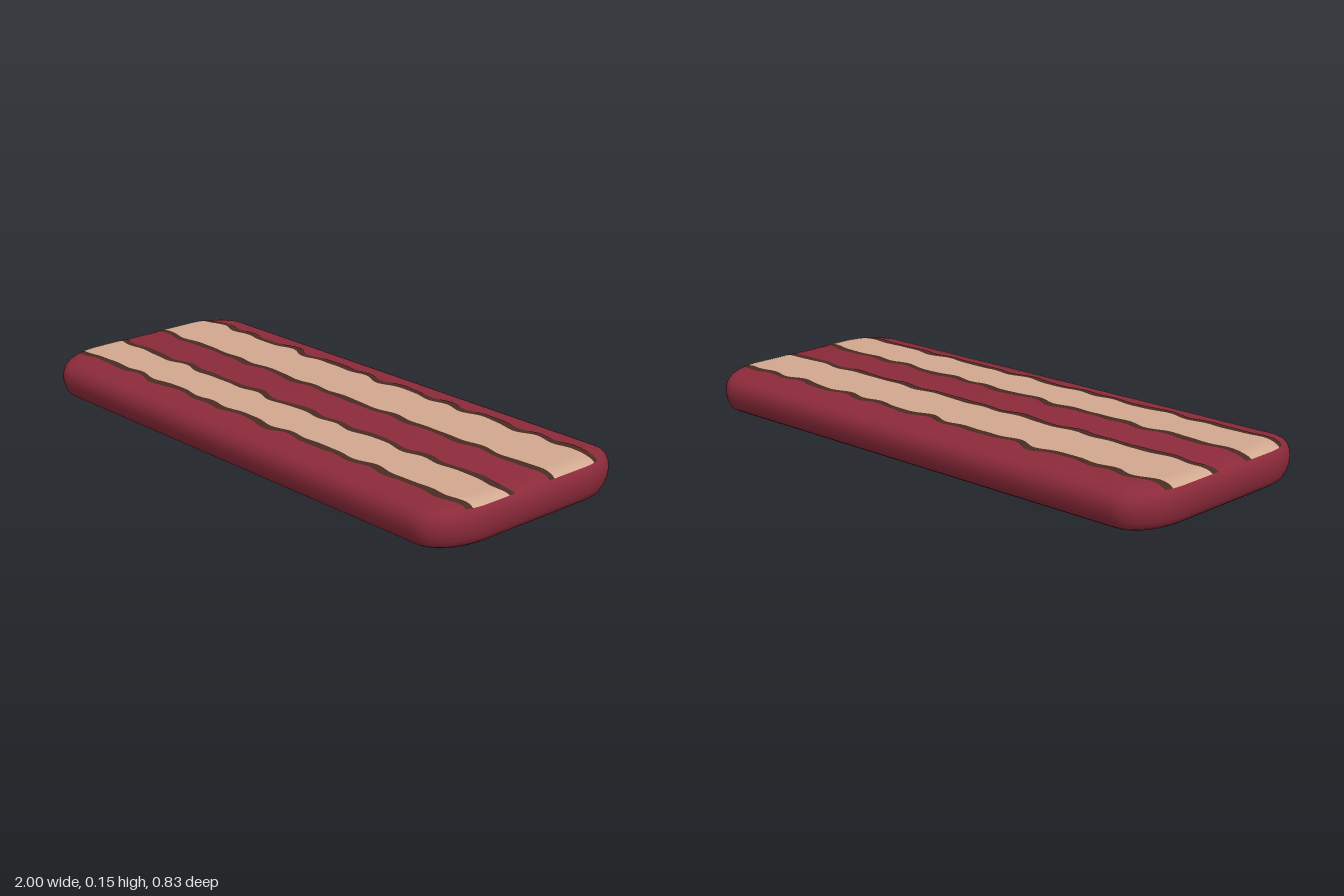
import * as THREE from 'three';
import { toCreasedNormals } from 'three/addons/utils/BufferGeometryUtils.js';

const red = new THREE.MeshStandardMaterial({ name: 'crimson', color: 0x8c2a3a });
const cream = new THREE.MeshStandardMaterial({ name: 'cream', color: 0xd2a890, side: THREE.DoubleSide });
const brown = new THREE.MeshStandardMaterial({ name: 'darkBrown', color: 0x4a2c22, side: THREE.DoubleSide });

// Slab outline: rectangle with elliptical corners
const HX = 1, HZ = 0.417, RX = 0.13, RZ = 0.2;
const CX = HX - RX, CZ = HZ - RZ;

// Edge profile from the underside to the top: inset in z, inset in x, height
const LOWER = [[0.035, 0.03, 0.013], [0.02, 0.017, 0.022], [0.009, 0.008, 0.04], [0.002, 0.002, 0.062]];
const UPPER = [[0, 0, 0.085], [0.004, 0.002, 0.103], [0.012, 0.006, 0.117], [0.024, 0.012, 0.128],
  [0.042, 0.021, 0.136], [0.07, 0.035, 0.142], [0.12, 0.06, 0.147]];

function geometryFrom(positions, index) {
  const geo = new THREE.BufferGeometry();
  geo.setAttribute('position', new THREE.Float32BufferAttribute(positions, 3));
  geo.setIndex(index);
  geo.computeVertexNormals();
  return geo;
}

// Rounded slab: stacked outline rings closed by flat caps
function slabGeometry() {
  const rows = [...LOWER, ...UPPER], steps = 16, n = 4 * (steps + 1);
  const pos = [], idx = [];
  for (const [dz, dx, y] of rows) {
    for (let q = 0; q < 4; q++) {
      const sx = q === 0 || q === 3 ? 1 : -1, sz = q < 2 ? 1 : -1;
      for (let i = 0; i <= steps; i++) {
        const a = (q + i / steps) * Math.PI / 2;
        pos.push(sx * CX + (RX - dx) * Math.cos(a), y, sz * CZ + (RZ - dz) * Math.sin(a));
      }
    }
  }
  const last = (rows.length - 1) * n, base = rows.length * n;
  pos.push(0, rows[0][2], 0, 0, rows[rows.length - 1][2], 0);
  for (let j = 0; j < n; j++) {
    const k = (j + 1) % n;
    for (let r = 0; r < rows.length - 1; r++) {
      const a = r * n + j, b = r * n + k;
      idx.push(a, a + n, b, a + n, b + n, b);
    }
    idx.push(base, j, k, base + 1, last + k, last + j);
  }
  return toCreasedNormals(geometryFrom(pos, idx), 0.7);
}

// Half length of the outline at depth z for a given inset
function halfLength(z, inset) {
  const e = Math.min(1, Math.max(0, Math.abs(z) - CZ) / (RZ - inset));
  return CX + (RX - inset / 2) * Math.sqrt(1 - e * e);
}

// Height of the upper surface at (x, z)
function topHeight(x, z) {
  let lo = 0, hi = 0.12;
  for (let i = 0; i < 20; i++) {
    const mid = (lo + hi) / 2;
    if (Math.abs(z) < HZ - mid && Math.abs(x) <= halfLength(z, mid)) lo = mid;
    else hi = mid;
  }
  for (let i = 1; i < UPPER.length; i++) {
    const [d0, , y0] = UPPER[i - 1], [d1, , y1] = UPPER[i];
    if (lo <= d1) return y0 + (y1 - y0) * (lo - d0) / (d1 - d0);
  }
  return 0.147;
}

// Irregular wavy edge running along x
const wave = (z, amp, phase) => x => z + amp * (0.6 * Math.sin(31 * x + phase)
  + 0.4 * Math.sin(19 * x + 2.3 * phase) + 0.3 * Math.sin(47 * x + 1.7 * phase));

// Thin painted strip between two edges, draped over the top
function strip(name, near, far, material, rows) {
  const cols = 200, pos = [], idx = [];
  for (let i = 0; i <= cols; i++) {
    const u = 2 * i / cols - 1;
    for (let j = 0; j <= rows; j++) {
      const z = THREE.MathUtils.lerp(near(u), far(u), j / rows);
      const x = u * halfLength(z, 0.032);
      pos.push(x, topHeight(x, z) + 0.0015, z);
      if (i < cols && j < rows) {
        const a = i * (rows + 1) + j, b = a + rows + 1;
        idx.push(a, a + 1, b, a + 1, b + 1, b);
      }
    }
  }
  const mesh = new THREE.Mesh(geometryFrom(pos, idx), material);
  mesh.name = name;
  return mesh;
}

// Cream stripe with a brown border on both long sides
function stripe(name, back, front) {
  const group = new THREE.Group();
  group.name = name;
  const t = x => 0.026 + 0.004 * Math.sin(23 * x);
  group.add(
    strip('creamBand', back, front, cream, 10),
    strip('backBorder', x => back(x) - t(x), back, brown, 2),
    strip('frontBorder', front, x => front(x) + t(x), brown, 2),
  );
  return group;
}

export function createModel() {
  const model = new THREE.Group();
  model.name = 'stripedSlab';

  const slab = new THREE.Mesh(slabGeometry(), red);
  slab.name = 'slab';
  model.add(slab);

  model.add(
    stripe('backStripe', wave(-0.27, 0.013, 0.6), wave(-0.079, 0.007, 2.1)),
    stripe('frontStripe', wave(0.125, 0.01, 4.0), wave(0.281, 0.009, 5.2)),
  );

  // Four small feet
  const footGeo = new THREE.CylinderGeometry(0.024, 0.019, 0.016, 16);
  for (const x of [-0.71, 0.71]) {
    for (const z of [-0.328, 0.334]) {
      const foot = new THREE.Mesh(footGeo, red);
      foot.name = 'foot';
      foot.position.set(x, 0.008, z);
      model.add(foot);
    }
  }
  return model;
}
